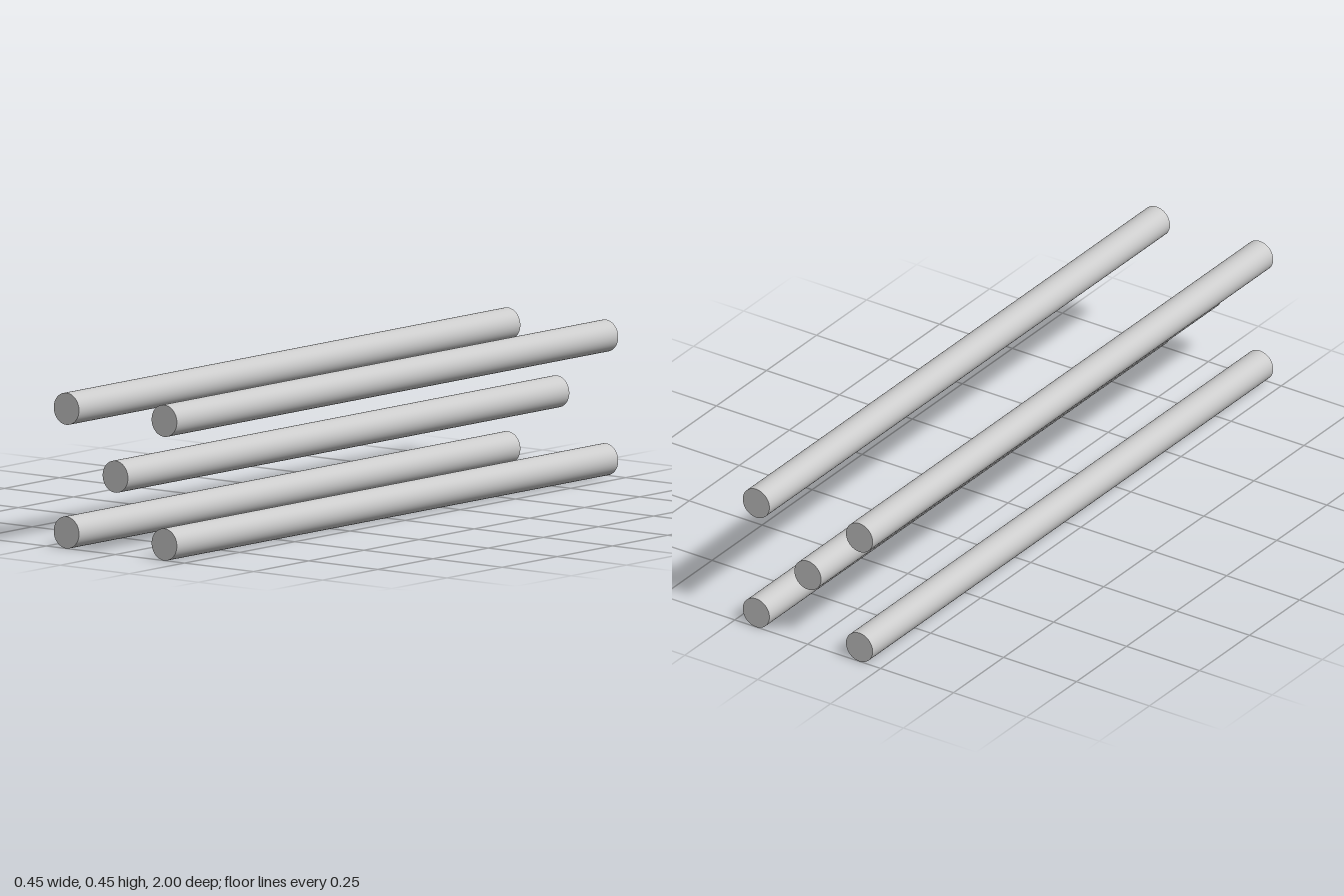
import * as THREE from 'three';

export function createModel() {
  const group = new THREE.Group();
  const material = new THREE.MeshStandardMaterial({ color: 0xcccccc });
  const radius = 0.0457, spacing = 0.177, length = 2;
  const midY = radius + spacing;

  // One smooth round rod, laid along z
  const rod = new THREE.CylinderGeometry(radius, radius, length, 64).rotateX(Math.PI / 2);

  function addRod(name, x, y) {
    const mesh = new THREE.Mesh(rod, material);
    mesh.name = name;
    mesh.position.set(x, y, 0);
    group.add(mesh);
  }

  // Centre rod with four more at the corners of a square
  addRod('centreRod', 0, midY);
  for (const [side, sx] of [['Left', 1], ['Right', -1]]) {
    addRod(`upper${side}Rod`, sx * spacing, midY + spacing);
    addRod(`lower${side}Rod`, sx * spacing, midY - spacing);
  }
  return group;
}
